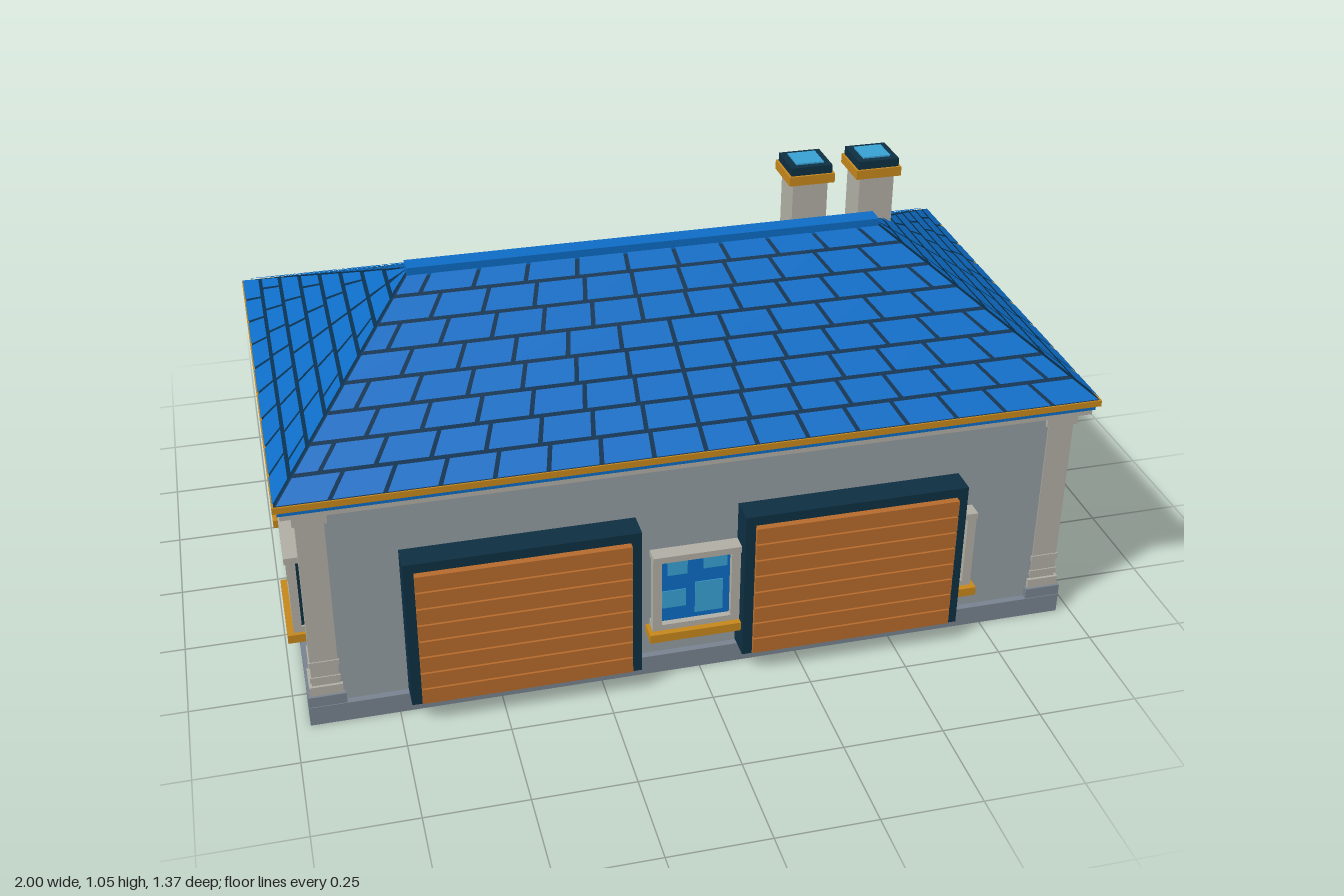
import * as THREE from 'three';

const mat = (name, hex) => {
  const m = new THREE.MeshStandardMaterial({ color: hex });
  m.name = name;
  return m;
};
const M = {
  wall: mat('wall grey', 0x929ca2),
  base: mat('slate grey', 0x76828f),
  stone: mat('warm stone', 0xb0aea3),
  blue: mat('roof blue', 0x0d6cc4),
  dark: mat('joint blue', 0x07304f),
  navy: mat('navy trim', 0x0d2f42),
  ochre: mat('ochre trim', 0xc4861c),
  wood: mat('door wood', 0xb56a2b),
  pale: mat('glass highlight', 0x38a0d2),
  black: mat('bar black', 0x14202b),
};
const ZC = 0.0675; // centre line of the house body

// Box given by its minimum and maximum on each axis
function block(parent, name, m, x0, x1, y0, y1, z0, z1) {
  const mesh = new THREE.Mesh(new THREE.BoxGeometry(x1 - x0, y1 - y0, z1 - z0), m);
  mesh.position.set((x0 + x1) / 2, (y0 + y1) / 2, (z0 + z1) / 2);
  mesh.name = name;
  parent.add(mesh);
  return mesh;
}
// Box layer centred on the house body
const layer = (g, name, m, hx, hz, y0, y1) => block(g, name, m, -hx, hx, y0, y1, ZC - hz, ZC + hz);

function group(parent, name, x = 0, z = 0, turn = 0) {
  const g = new THREE.Group();
  g.name = name;
  g.position.set(x, 0, z);
  g.rotation.y = turn;
  parent.add(g);
  return g;
}

function quadMesh(parent, name, m, quads) {
  const pos = [];
  for (const [a, b, c, d] of quads)
    for (const p of [a, b, c, a, c, d]) pos.push(p.x, p.y, p.z);
  const geo = new THREE.BufferGeometry();
  geo.setAttribute('position', new THREE.Float32BufferAttribute(pos, 3));
  geo.computeVertexNormals();
  const mesh = new THREE.Mesh(geo, m);
  mesh.name = name;
  parent.add(mesh);
}

// Hipped roof: dark underlay with staggered tiles just above it
function roof(parent) {
  const g = group(parent, 'roof');
  const V = (x, y, z) => new THREE.Vector3(x, y, z);
  const y0 = 0.645, y1 = 0.912, hz = 0.5775;
  const fl = V(-0.995, y0, ZC + hz), fr = V(0.995, y0, ZC + hz);
  const bl = V(-0.995, y0, ZC - hz), br = V(0.995, y0, ZC - hz);
  const rl = V(-0.6, y1, ZC), rr = V(0.6, y1, ZC);
  const faces = [[fl, fr, rr, rl], [fr, br, rr, rr], [br, bl, rl, rr], [bl, fl, rl, rl]];
  quadMesh(g, 'roofUnderlay', M.dark, faces);
  const tiles = [], rows = 8, gap = 0.011;
  for (const [a, b, c, d] of faces) {
    const n = b.clone().sub(a).cross(c.clone().sub(a)).normalize().multiplyScalar(0.004);
    const slope = a.clone().lerp(b, 0.5).distanceTo(c.clone().lerp(d, 0.5));
    const at = (u, v) => a.clone().lerp(d, v).lerp(b.clone().lerp(c, v), u).add(n);
    for (let r = 0; r < rows; r++) {
      const v0 = r / rows, v1 = (r + 1) / rows - gap / slope;
      const width = at(0, (v0 + v1) / 2).distanceTo(at(1, (v0 + v1) / 2));
      const count = Math.max(1, Math.round(width / 0.125)), shift = r % 2 ? 0.5 : 0;
      const inset = gap / 2 / width;
      for (let k = 0; k <= count; k++) {
        const u0 = Math.max(0, (k - shift) / count) + inset;
        const u1 = Math.min(1, (k + 1 - shift) / count) - inset;
        if (u1 - u0 > 0.002) tiles.push([at(u0, v0), at(u1, v0), at(u1, v1), at(u0, v1)]);
      }
    }
  }
  quadMesh(g, 'roofTiles', M.blue, tiles);
  block(g, 'ridgeCap', M.blue, -0.61, 0.61, 0.895, 0.925, ZC - 0.024, ZC + 0.024);
}

// Window facing +z from the wall surface
function windowUnit(parent, name, x, z, turn, glassX = 0, glassW = 0.175) {
  const g = group(parent, name, x, z, turn);
  const l = glassX - glassW / 2, r = glassX + glassW / 2;
  block(g, 'casing', M.navy, -0.104, 0.104, 0.14, 0.35, -0.01, 0.015);
  block(g, 'glass', M.blue, l, r, 0.155, 0.345, 0.012, 0.02);
  block(g, 'leftJamb', M.stone, -0.11, l, 0.14, 0.35, 0.015, 0.036);
  block(g, 'rightJamb', M.stone, r, 0.11, 0.14, 0.35, 0.015, 0.036);
  block(g, 'lintel', M.stone, -0.11, 0.11, 0.343, 0.36, -0.01, 0.042);
  block(g, 'lowerRail', M.stone, -0.11, 0.11, 0.14, 0.156, 0, 0.036);
  block(g, 'sill', M.ochre, -0.12, 0.12, 0.117, 0.14, -0.01, 0.052);
  const spots = [[-0.045, 0.31, 0.05, 0.04], [0.05, 0.315, 0.06, 0.035],
    [-0.053, 0.22, 0.06, 0.05], [0.035, 0.215, 0.07, 0.09]];
  const s = glassW / 0.175;
  for (const [px, py, w, h] of spots)
    block(g, 'glassHighlight', M.pale, glassX + (px - w / 2) * s, glassX + (px + w / 2) * s,
      py - h / 2, py + h / 2, 0.018, 0.022);
  return g;
}

// Garage door with slats
function garageDoor(parent, x0, x1) {
  const g = group(parent, 'garageDoor');
  block(g, 'doorBacking', M.navy, x0, x1, 0.055, 0.46, 0.59, 0.655);
  block(g, 'doorHead', M.navy, x0, x1, 0.435, 0.46, 0.655, 0.672);
  for (const x of [x0, x1 - 0.025])
    block(g, 'doorJamb', M.navy, x, x + 0.025, 0.055, 0.435, 0.655, 0.672);
  for (let i = 0; i < 8; i++) {
    const y = 0.062 + i * 0.0466;
    block(g, 'slat', M.wood, x0 + 0.025, x1 - 0.025, y, y + 0.042, 0.65, 0.683);
  }
}

function chimney(parent, x) {
  const g = group(parent, 'chimney', x, -0.066);
  const tier = (name, m, h, y0, y1) => block(g, name, m, -h, h, y0, y1, -h, h);
  tier('shaft', M.stone, 0.047, 0.79, 1);
  tier('collar', M.ochre, 0.061, 0.995, 1.02);
  tier('cap', M.navy, 0.055, 1.02, 1.042);
  tier('capInset', M.pale, 0.037, 1.04, 1.046);
}

// Back entrance, facing local +z
function entrance(parent) {
  const g = group(parent, 'entrance', 0, -0.47, Math.PI);
  block(g, 'doorLeaf', M.blue, -0.09, 0.09, 0.06, 0.365, -0.01, 0.03);
  for (const s of [-1, 1])
    block(g, 'doorJamb', M.base, s * 0.1 - 0.012, s * 0.1 + 0.012, 0.06, 0.375, -0.01, 0.042);
  block(g, 'canopy', M.base, -0.13, 0.13, 0.375, 0.397, -0.01, 0.075);
  block(g, 'canopyCover', M.navy, -0.115, 0.115, 0.397, 0.402, -0.01, 0.062);
  block(g, 'doorHighlight', M.pale, 0.0, 0.07, 0.16, 0.32, 0.028, 0.033);
  block(g, 'doorHighlight', M.pale, -0.04, 0.04, 0.1, 0.18, 0.028, 0.033);
  block(g, 'handle', M.ochre, -0.07, -0.045, 0.165, 0.2, 0.03, 0.06);
  [[0, 0.025, 0.183], [0.025, 0.045, 0.145], [0.045, 0.062, 0.1]].forEach(([y0, y1, d]) =>
    block(g, 'step', M.base, -0.13, 0.13, y0, y1, 0, d));
}

export function createModel() {
  const house = new THREE.Group();
  house.name = 'house';

  // Body, plinth and cornice
  layer(house, 'plinth', M.base, 0.965, 0.555, 0, 0.052);
  layer(house, 'walls', M.wall, 0.943, 0.5375, 0.05, 0.62);
  layer(house, 'lowerCornice', M.ochre, 0.955, 0.547, 0.59, 0.601);
  layer(house, 'stoneCornice', M.stone, 0.985, 0.567, 0.6, 0.615);
  layer(house, 'blueCornice', M.blue, 0.99, 0.572, 0.615, 0.628);
  layer(house, 'eavesTrim', M.ochre, 1, 0.58, 0.628, 0.644);

  // Corner pilasters
  for (const sx of [-1, 1]) for (const sz of [-1, 1]) {
    const g = group(house, 'cornerPilaster', sx * 0.92, ZC + sz * 0.507);
    const tier = (name, m, h, y0, y1) => block(g, name, m, -h, h, y0, y1, -h, h);
    tier('pilasterFoot', M.base, 0.046, 0, 0.08);
    tier('pilasterBase', M.stone, 0.04, 0.08, 0.105);
    tier('pilasterShaft', M.stone, 0.033, 0.1, 0.57);
    tier('pilasterBand', M.stone, 0.036, 0.115, 0.13);
    tier('pilasterBand', M.stone, 0.036, 0.16, 0.175);
    tier('pilasterCapital', M.stone, 0.04, 0.565, 0.59);
  }

  roof(house);
  chimney(house, 0.458);
  chimney(house, 0.64);
  garageDoor(house, -0.725, -0.16);
  garageDoor(house, 0.095, 0.66);
  entrance(house);

  // Windows on all four walls
  for (const x of [-0.015, 0.595]) windowUnit(house, 'frontWindow', x, 0.603, 0);
  for (const x of [-0.455, 0.455]) windowUnit(house, 'backWindow', x, -0.468, Math.PI);
  for (const [z, out] of [[0.325, -1], [-0.19, 1]]) {
    windowUnit(house, 'rightWallWindow', -0.943, z, -Math.PI / 2);
    const g = windowUnit(house, 'leftWallWindow', 0.943, z, Math.PI / 2, -0.015, 0.155);
    // Side screen, apron and bars
    const inner = out < 0 ? 0.093 : 0.1, outer = 0.135;
    const span = (name, m, a, b, y0, y1, z0, z1) =>
      block(g, name, m, Math.min(a, b) * 1, Math.max(a, b), y0, y1, z0, z1);
    span('screen', M.base, out * inner, out * outer, 0.085, 0.29, 0.01, 0.048);
    span('apron', M.base, out * -0.05, out * outer, 0.085, 0.118, 0.01, 0.046);
    for (const y of [0.157, 0.193, 0.232])
      span('bar', M.black, out * -0.035, out * 0.115, y - 0.004, y + 0.004, 0.045, 0.053);
  }

  // Back platforms with posts, and downpipes
  for (const s of [-1, 1]) {
    const p = group(house, 'backPlatform', s * 0.455);
    block(p, 'slab', M.base, -0.104, 0.104, 0.025, 0.06, -0.685, -0.47);
    for (const x of [-0.075, 0.075])
      block(p, 'post', M.ochre, x - 0.01, x + 0.01, 0.06, 0.2, -0.647, -0.628);
    const pipe = new THREE.Mesh(new THREE.CylinderGeometry(0.013, 0.013, 0.55, 8), M.blue);
    pipe.position.set(s * 0.89, 0.33, -0.486);
    pipe.name = 'downpipe';
    house.add(pipe);
  }
  return house;
}
